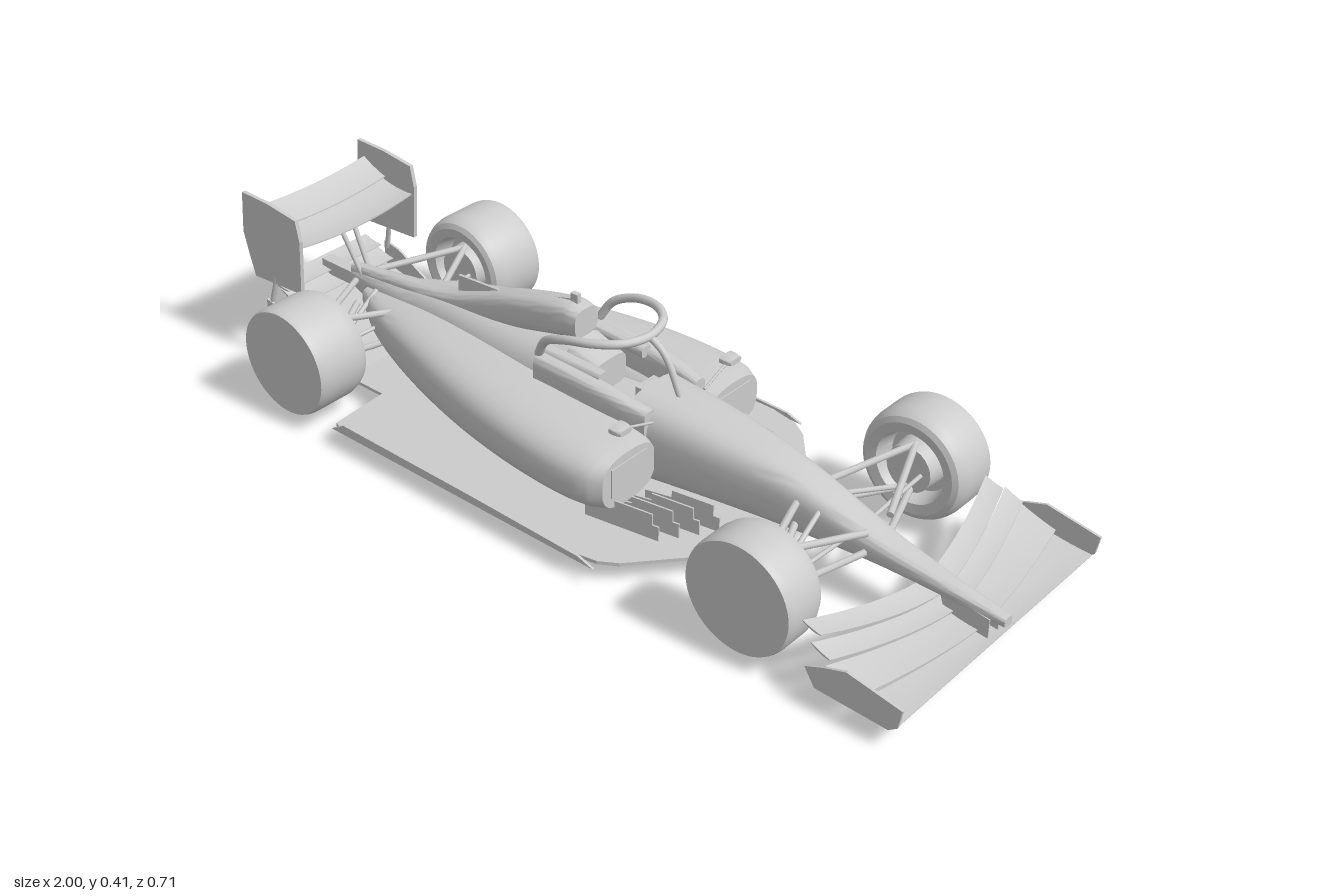
import * as THREE from 'three';
import { toCreasedNormals } from 'three/addons/utils/BufferGeometryUtils.js';

const mat = new THREE.MeshStandardMaterial({ color: 0xcccccc, roughness: 0.7 });
const V = (x, y, z) => new THREE.Vector3(x, y, z);
const mix = (a, b, t) => a + (b - a) * t;

// Skin through closed rings of equal length, capped at both ends
function loft(rings, crease = 0.7) {
  const n = rings[0].length, m = rings.length, idx = [];
  let volume = 0;
  const pts = rings.flat();
  for (const r of [rings[0], rings[m - 1]]) {
    const c = V(0, 0, 0);
    r.forEach(p => c.add(p));
    pts.push(c.divideScalar(n));
  }
  for (let i = 0; i < m - 1; i++) for (let j = 0; j < n; j++) {
    const a = i * n + j, b = i * n + (j + 1) % n;
    idx.push(a, b, a + n, b, b + n, a + n);
  }
  for (let j = 0; j < n; j++) {
    const k = (j + 1) % n, e = (m - 1) * n;
    idx.push(m * n, k, j, m * n + 1, e + j, e + k);
  }
  // keep the surface facing outwards
  for (let i = 0; i < idx.length; i += 3)
    volume += pts[idx[i]].dot(pts[idx[i + 1]].clone().cross(pts[idx[i + 2]]));
  if (volume < 0) idx.reverse();
  const g = new THREE.BufferGeometry().setFromPoints(pts);
  g.setIndex(idx);
  return toCreasedNormals(g, crease);
}

// Body from rows of [x, bottom, top, inner z, outer z], smoothed along x
function hull(rows, power = 2.6, seg = 32) {
  const rings = [], sub = 5, last = rows.length - 1;
  const f = v => Math.sign(v) * Math.pow(Math.abs(v), 2 / power);
  for (let i = 0; i <= last * sub; i++) {
    const k = Math.min(Math.floor(i / sub), last - 1), t = i / sub - k;
    const [x, y0, y1, z0, z1] = [0, 1, 2, 3, 4].map(c => {
      const p0 = rows[k][c], h = rows[k + 1][c] - p0, dx = rows[k + 1][0] - rows[k][0];
      if (c === 0) return p0 + h * t;
      const slope = q => q === 0 || q === last ? h / dx
        : (rows[q + 1][c] - rows[q - 1][c]) / (rows[q + 1][0] - rows[q - 1][0]);
      const t2 = t * t, t3 = t2 * t;
      return p0 + h * (3 * t2 - 2 * t3) + dx * (slope(k) * (t3 - 2 * t2 + t) + slope(k + 1) * (t3 - t2));
    });
    rings.push(Array.from({ length: seg }, (_, j) => {
      const a = j / seg * Math.PI * 2;
      return V(x, (y0 + y1) / 2 + f(Math.sin(a)) * (y1 - y0) / 2, (z0 + z1) / 2 + f(Math.cos(a)) * (z1 - z0) / 2);
    }));
  }
  return loft(rings);
}

// Wing blade across z; edge(u) gives [lead x, lead y, trail x, trail y], u = |z| / span
function blade(span, edge, camber, thick = 0.005) {
  const rings = [];
  for (let i = 0; i <= 24; i++) {
    const u = i / 12 - 1, [x0, y0, x1, y1] = edge(Math.abs(u));
    const side = s => Array.from({ length: 7 }, (_, j) => {
      const t = j / 6, bow = t * (1 - t) * 4;
      return V(mix(x0, x1, t), mix(y0, y1, t) - bow * camber + s * thick * (0.2 + 0.3 * bow), u * span);
    });
    rings.push([...side(1), ...side(-1).reverse()]);
  }
  return loft(rings);
}

// Flat plate in the xy plane, centred on z
function plate(points, z, thick) {
  const shape = new THREE.Shape(points.map(p => new THREE.Vector2(...p)));
  return new THREE.ExtrudeGeometry(shape, { depth: thick, bevelEnabled: false }).translate(0, 0, z - thick / 2);
}

function strut(a, b, r) {
  const d = b.clone().sub(a), g = new THREE.CylinderGeometry(r, r, d.length(), 8);
  g.applyQuaternion(new THREE.Quaternion().setFromUnitVectors(V(0, 1, 0), d.normalize()));
  return g.translate(...a.clone().add(b).multiplyScalar(0.5).toArray());
}

const box = (w, h, d, x, y, z) => new THREE.BoxGeometry(w, h, d).translate(x, y, z);
const tube = (pts, r, seg = 40) => new THREE.TubeGeometry(new THREE.CatmullRomCurve3(pts), seg, r, 12);

// Tyre with flat outer cover and recessed inner rim
function wheel(x, zIn, zOut, s) {
  const w = zOut - zIn, r = 0.13;
  const profile = [[0, 0.05], [0.075, 0.05], [0.085, 0.004], [0.108, 0], [0.12, 0.006], [0.127, 0.02], [r, 0.036],
    [r, w - 0.02], [0.129, w - 0.008], [0.126, w], [0.122, w], [0, w]];
  const g = new THREE.LatheGeometry(profile.map(p => new THREE.Vector2(...p)), 48);
  g.rotateX(s * Math.PI / 2).translate(x, 0.15, s * zIn);
  return toCreasedNormals(g, 0.6);
}

export function createModel() {
  const root = new THREE.Group();
  const add = (name, geo) => {
    const mesh = new THREE.Mesh(geo, mat);
    mesh.name = name;
    root.add(mesh);
  };

  // Nose, tub and engine cover
  add('noseAndChassis', hull([[1, 0.085, 0.107, -0.014, 0.014], [0.73, 0.1, 0.157, -0.036, 0.036],
    [0.49, 0.09, 0.227, -0.06, 0.06], [0.3, 0.078, 0.253, -0.084, 0.084], [0.1, 0.055, 0.267, -0.1, 0.1]], 3));
  add('cockpitTub', hull([[0.12, 0.05, 0.2, -0.1, 0.1], [-0.12, 0.05, 0.2, -0.11, 0.11]], 5));
  add('engineCover', hull([[-0.09, 0.05, 0.285, -0.11, 0.11], [-0.25, 0.05, 0.27, -0.1, 0.1],
    [-0.48, 0.06, 0.25, -0.07, 0.07], [-0.65, 0.09, 0.222, -0.045, 0.045], [-0.83, 0.15, 0.2, -0.016, 0.016]]));
  add('airbox', hull([[-0.09, 0.305, 0.372, -0.037, 0.037], [-0.13, 0.295, 0.378, -0.04, 0.04],
    [-0.3, 0.25, 0.335, -0.037, 0.037], [-0.5, 0.2, 0.262, -0.03, 0.03], [-0.7, 0.18, 0.228, -0.02, 0.02],
    [-0.83, 0.175, 0.21, -0.014, 0.014]], 3));
  add('coverFin', plate([[-0.12, 0.385], [-0.35, 0.318], [-0.475, 0.31], [-0.478, 0.24], [-0.2, 0.29]], 0, 0.007));
  add('rollHoopCamera', box(0.02, 0.03, 0.012, -0.12, 0.383, 0));
  add('headrest', hull([[-0.02, 0.2, 0.275, -0.05, 0.05], [-0.1, 0.2, 0.3, -0.055, 0.055]], 4));
  add('steeringPanel', box(0.02, 0.045, 0.06, 0.085, 0.235, 0));

  // Halo
  const arc = [[-0.14, 0.285, 0.098], [-0.11, 0.332, 0.108], [-0.05, 0.362, 0.115], [0.02, 0.375, 0.103], [0.07, 0.377, 0.065]];
  add('haloRing', tube([...arc.map(p => V(...p)), V(0.09, 0.376, 0), ...arc.slice().reverse().map(([x, y, z]) => V(x, y, -z))], 0.01, 64));
  add('haloPillar', tube([V(0.085, 0.376, 0), V(0.13, 0.345, 0), V(0.178, 0.25, 0)], 0.008));

  // Floor and diffuser
  const half = [[0.445, 0.06], [0.425, 0.137], [0.275, 0.31], [0.235, 0.335], [0.14, 0.352], [-0.5, 0.352], [-0.54, 0.34],
    [-0.55, 0.19], [-0.68, 0.19]];
  const outline = [...half, ...half.slice().reverse().map(([x, z]) => [x, -z])];
  add('floor', plate(outline, 0, 0.008).rotateX(Math.PI / 2).translate(0, 0.046, 0));
  add('diffuserRoof', plate([[-0.66, 0.042], [-0.74, 0.05], [-0.93, 0.088], [-0.93, 0.094], [-0.74, 0.058], [-0.66, 0.05]], 0, 0.38));
  for (const z of [-0.163, -0.108, -0.054, 0, 0.054, 0.108, 0.163])
    add('diffuserStrake', plate([[-0.66, 0.043], [-0.715, 0.008], [-0.73, 0], [-0.87, 0.078]], z, 0.004));

  // Front wing: four slotted blades, swept back and rising towards the tips
  [[0.348, 0.985, 0.05, 0.943, 0.05, 0.985, 0.05, 0.893, 0.058], [0.342, 0.947, 0.058, 0.885, 0.066, 0.899, 0.074, 0.815, 0.1],
    [0.335, 0.889, 0.074, 0.845, 0.082, 0.82, 0.112, 0.775, 0.13], [0.315, 0.849, 0.09, 0.805, 0.104, 0.782, 0.139, 0.738, 0.152]]
    .forEach(([span, ...b], i) => add('frontWingBlade' + (i + 1),
      blade(span, u => [0, 1, 2, 3].map(k => mix(b[k], b[k + 4], u ** 1.5)), 0.003)));

  // Rear wing and beam wing
  add('rearWingMain', blade(0.178, u => [-0.81, mix(0.313, 0.328, u * u), -0.91, mix(0.325, 0.338, u * u)], 0.008, 0.009));
  add('rearWingFlap', blade(0.178, u => [-0.9, mix(0.333, 0.345, u * u), -0.97, mix(0.365, 0.376, u * u)], 0.005, 0.007));
  add('beamWingLower', blade(0.15, () => [-0.86, 0.145, -0.93, 0.165], 0.005));
  add('beamWingUpper', blade(0.15, () => [-0.9, 0.168, -0.955, 0.178], 0.004));
  add('rearCrashStructure', box(0.14, 0.035, 0.03, -0.86, 0.172, 0));

  // Paired parts
  for (const s of [1, -1]) {
    const pair = (name, geo) => add((s > 0 ? 'left' : 'right') + name, geo);
    const P = (x, y, z) => V(x, y, s * z);
    const link = (name, a, b, r = 0.008) => pair(name, strut(P(...a), P(...b), r));
    const pairHull = (name, rows, power) => pair(name, hull(rows.map(([x, y0, y1, z0, z1]) => [x, y0, y1, s * z0, s * z1]), power));

    pair('FrontWheel', wheel(0.603, 0.23, 0.346, s));
    pair('RearWheel', wheel(-0.69, 0.207, 0.354, s));

    pairHull('Sidepod', [[0.182, 0.092, 0.215, 0.09, 0.257], [0.14, 0.086, 0.222, 0.07, 0.278], [0.04, 0.084, 0.228, 0.05, 0.285],
      [-0.12, 0.082, 0.232, 0.03, 0.27], [-0.3, 0.08, 0.23, 0.01, 0.232], [-0.5, 0.085, 0.218, 0, 0.17],
      [-0.66, 0.105, 0.196, 0, 0.105], [-0.76, 0.135, 0.18, 0, 0.045]], 2.8);
    pair('SidepodInlet', box(0.004, 0.07, 0.11, 0.183, 0.16, s * 0.175));
    pairHull('CockpitSide', [[0.16, 0.19, 0.257, 0.065, 0.1], [0.05, 0.19, 0.275, 0.07, 0.115], [-0.14, 0.19, 0.285, 0.065, 0.118]], 4);
    pairHull('CockpitPad', [[0.02, 0.262, 0.288, 0.055, 0.085], [-0.14, 0.265, 0.292, 0.055, 0.09]], 3);

    // Mirrors
    pairHull('Mirror', [[0.18, 0.257, 0.271, 0.162, 0.198], [0.165, 0.255, 0.273, 0.158, 0.202], [0.15, 0.255, 0.273, 0.158, 0.202]], 3);
    link('MirrorStalk', [0.165, 0.26, 0.165], [0.17, 0.235, 0.085], 0.003);

    // Floor edge and stepped turning vanes
    pair('FloorEdge', plate([[0.24, 0.042], [0.2, 0.055], [-0.1, 0.062], [-0.5, 0.066], [-0.54, 0.042]], s * 0.351, 0.006));
    for (let i = 0; i < 4; i++) {
      const x = 0.365 - i * 0.025;
      pair('TurningVane', plate([[x, 0.045], [x, 0.085], [x - 0.015, 0.085], [x - 0.015, 0.112], [x - 0.115, 0.112],
        [x - 0.115, 0.095], [x - 0.18, 0.09], [x - 0.18, 0.045]], 0, 0.004)
        .rotateY(s * 0.16).translate(0, 0, s * (0.15 + i * 0.032)));
    }

    // Wing end plates and mounts
    pair('FrontWingEndplate', plate([[0.775, 0.085], [0.82, 0.105], [0.87, 0.122], [0.998, 0.1], [0.99, 0.055], [0.97, 0.04], [0.8, 0.045]], s * 0.35, 0.006));
    pair('FrontWingMount', plate([[0.97, 0.05], [0.97, 0.095], [0.85, 0.115], [0.87, 0.06]], s * 0.018, 0.003));
    pair('RearWingEndplate', plate([[-0.99, 0.415], [-0.9, 0.413], [-0.81, 0.402], [-0.8, 0.35], [-0.81, 0.21],
      [-0.97, 0.2], [-0.985, 0.25], [-1, 0.31]], s * 0.181, 0.01));
    link('RearWingPylon', [-0.79, 0.19, 0.012], [-0.85, 0.308, 0.02], 0.006);
    pair('DiffuserSide', plate([[-0.93, 0.088], [-0.93, 0.155], [-0.88, 0.145], [-0.72, 0.058], [-0.72, 0.045]], s * 0.19, 0.006));
    link('EndplateSupport', [-0.92, 0.14, 0.187], [-0.9, 0.22, 0.181], 0.006);

    // Suspension
    for (const [n, x, hub, zc, up, low, spread] of [['Front', 0.603, 0.25, 0.04, 0.178, 0.13, 0.085], ['Rear', -0.69, 0.23, 0.035, 0.19, 0.13, 0.1]]) {
      for (const d of [-1, 1]) {
        link(n + 'UpperWishbone', [x, 0.205, hub], [x + d * spread, up, zc]);
        link(n + 'LowerWishbone', [x, 0.1, hub], [x + d * spread, low, zc]);
      }
      link(n + 'PushRod', [x, 0.105, hub - 0.01], [x - 0.03, up, zc], 0.006);
      link(n + 'TrackRod', [x + 0.03, 0.147, hub], [x + 0.04, 0.147, zc], 0.005);
      pair(n + 'Hub', new THREE.CylinderGeometry(0.055, 0.06, 0.06, 24).rotateX(Math.PI / 2).translate(x, 0.15, s * (hub + 0.01)));
    }
  }
  return root;
}
